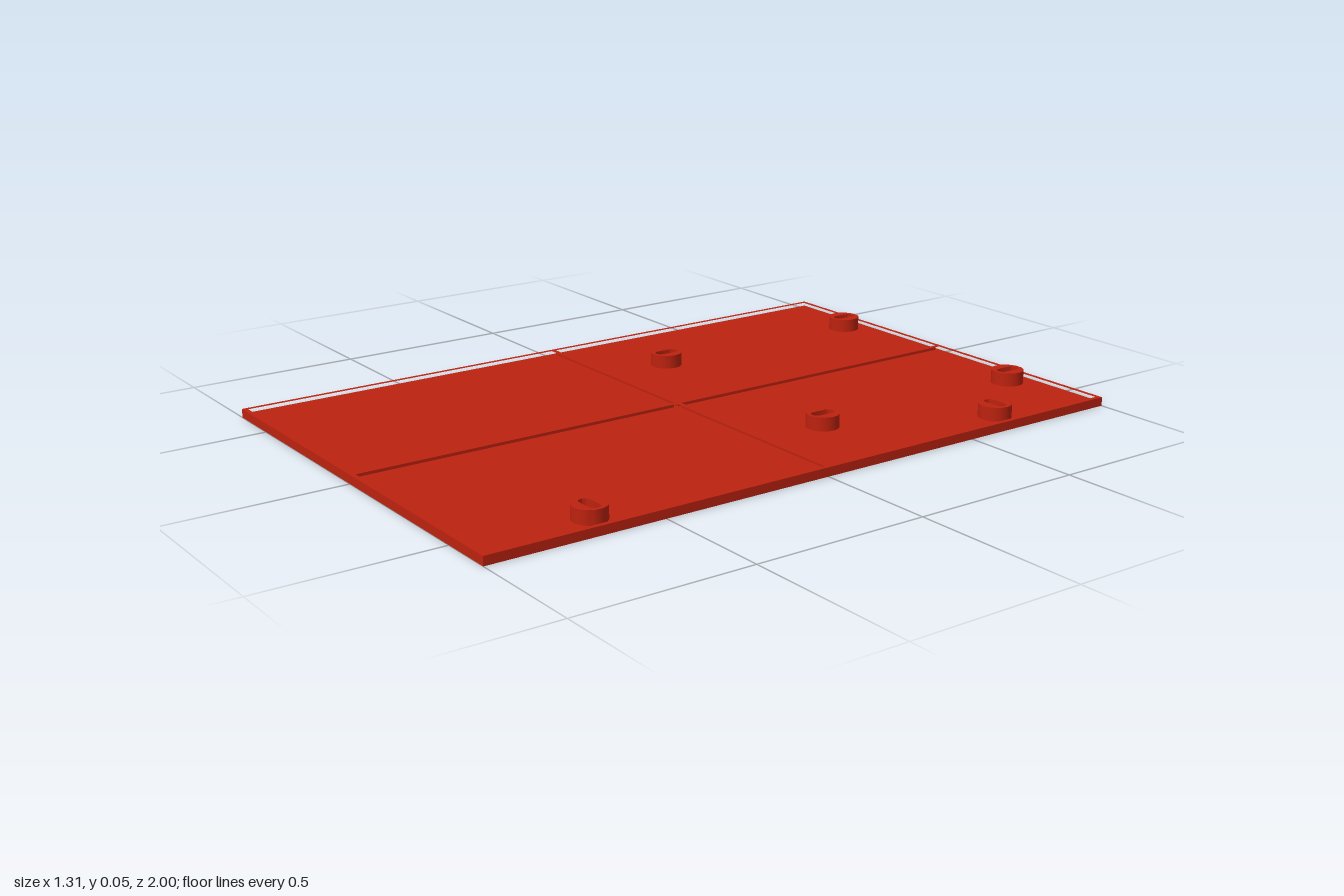
import * as THREE from 'three';
import { toCreasedNormals } from 'three/addons/utils/BufferGeometryUtils.js';

const HALF_W = 0.655, HALF_D = 1;
const FLOOR = 0.011, RIM_TOP = 0.025, BOSS_TOP = 0.05;
const WALL = 0.013, RIB = 0.015, RIB_Z = -0.005;

// x, z and whether the slot runs along x
const BOSSES = [
  [-0.363, -0.922, false], [0.362, -0.922, false],
  [-0.363, -0.225, false], [0.362, -0.225, false],
  [0.572, -0.663, true], [0.572, 0.663, true],
];

function rectPoints(x0, x1, z0, z1) {
  return [[x0, z0], [x1, z0], [x1, z1], [x0, z1]].map(([x, z]) => new THREE.Vector2(x, -z));
}

// Rounded slot outline, drawn in the plan
function slotPath(x, z, alongX) {
  const r = 0.016, half = 0.02, path = new THREE.Path();
  const turn = alongX ? 0 : Math.PI / 2;
  const dx = alongX ? half : 0, dy = alongX ? 0 : half;
  path.absarc(x + dx, -z + dy, r, turn - Math.PI / 2, turn + Math.PI / 2, false);
  path.absarc(x - dx, -z - dy, r, turn + Math.PI / 2, turn + Math.PI * 1.5, false);
  path.closePath();
  return path;
}

// Extrude a plan shape upwards from y0 to y1
function slab(shape, y0, y1) {
  const geo = new THREE.ExtrudeGeometry(shape, { depth: y1 - y0, bevelEnabled: false, curveSegments: 16 });
  geo.rotateX(-Math.PI / 2).translate(0, y0, 0);
  return toCreasedNormals(geo, Math.PI / 5);
}

export function createModel() {
  const group = new THREE.Group();
  const red = new THREE.MeshStandardMaterial({ color: 0xbd220f });
  red.name = 'red plastic';

  const add = (name, geo) => {
    const mesh = new THREE.Mesh(geo, red);
    mesh.name = name;
    group.add(mesh);
  };

  // Floor sheet pierced by the slots
  const floor = new THREE.Shape(rectPoints(-HALF_W, HALF_W, -HALF_D, HALF_D));
  BOSSES.forEach((b) => floor.holes.push(slotPath(...b)));
  add('floorPlate', slab(floor, 0, FLOOR));

  // Rim and crossed ribs as one frame with four openings
  const frame = new THREE.Shape(rectPoints(-HALF_W, HALF_W, -HALF_D, HALF_D));
  const xs = [[-HALF_W + WALL, -RIB / 2], [RIB / 2, HALF_W - WALL]];
  const zs = [[-HALF_D + WALL, RIB_Z - RIB / 2], [RIB_Z + RIB / 2, HALF_D - WALL]];
  for (const [x0, x1] of xs) {
    for (const [z0, z1] of zs) frame.holes.push(new THREE.Path(rectPoints(x0, x1, z0, z1)));
  }
  add('rimAndRibs', slab(frame, FLOOR, RIM_TOP));

  // Round bosses with slots
  for (const [x, z, alongX] of BOSSES) {
    const boss = new THREE.Shape().absarc(x, -z, 0.046, 0, Math.PI * 2, false);
    boss.holes.push(slotPath(x, z, alongX));
    add('slottedBoss', slab(boss, FLOOR, BOSS_TOP));
  }

  return group;
}
